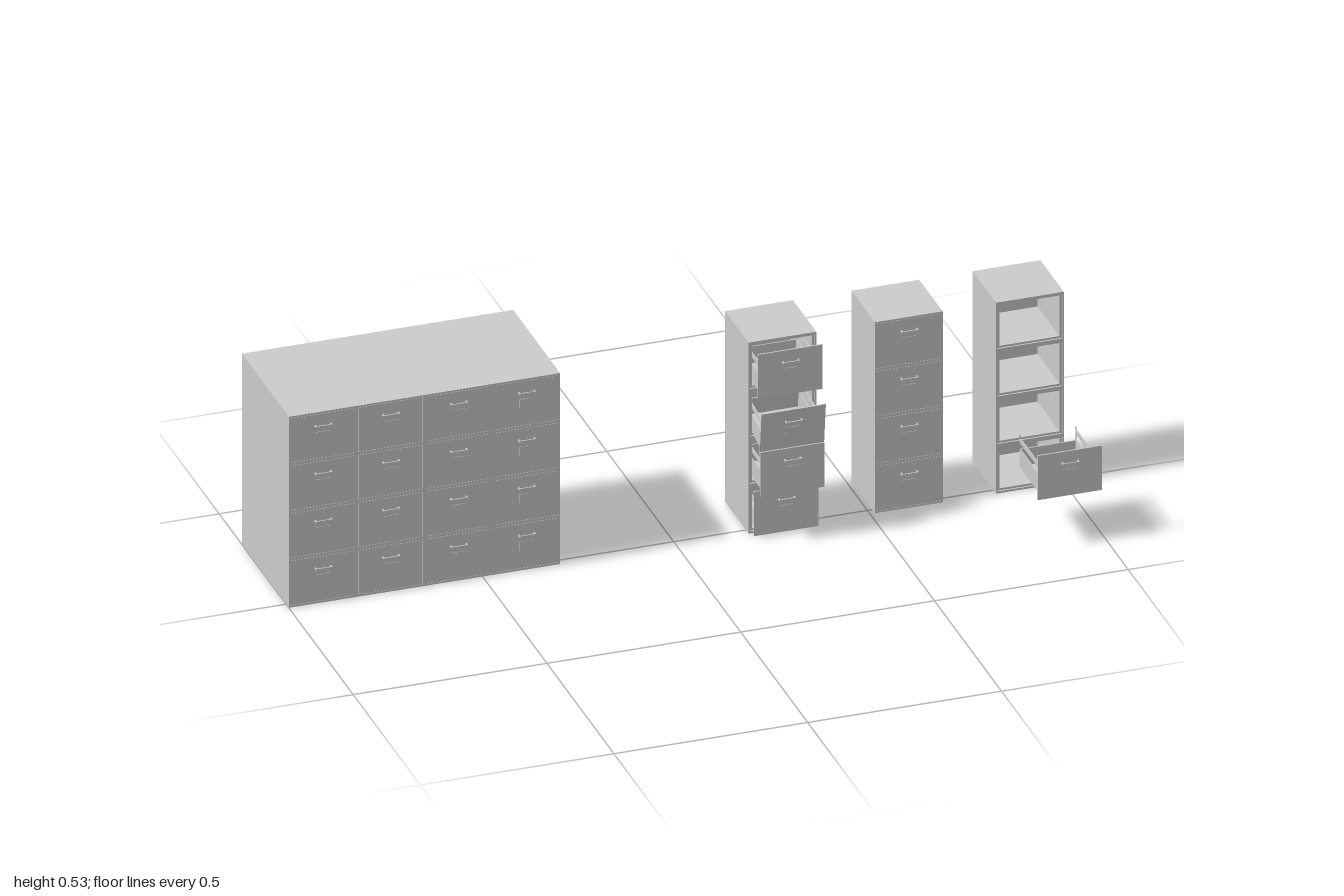
import * as THREE from 'three';

const grey = new THREE.MeshStandardMaterial({ color: 0xcccccc, flatShading: true });

const W = 0.175, H = 0.5265, D = 0.175;   // cabinet size
const PITCH = 0.131, BASE = 0.006;        // drawer spacing and lowest drawer
const PLATE_W = 0.166, PLATE_H = 0.122, PLATE_T = 0.004;

function mesh(parent, name, geometry, x = 0, y = 0, z = 0) {
  const m = new THREE.Mesh(geometry, grey);
  m.name = name;
  m.position.set(x, y, z);
  parent.add(m);
  return m;
}

// Box given by its limits on each axis
function box(parent, name, [x0, x1], [y0, y1], [z0, z1]) {
  return mesh(parent, name, new THREE.BoxGeometry(x1 - x0, y1 - y0, z1 - z0),
    (x0 + x1) / 2, (y0 + y1) / 2, (z0 + z1) / 2);
}

function rect(path, x0, y0, x1, y1) {
  path.moveTo(x0, y0);
  path.lineTo(x1, y0);
  path.lineTo(x1, y1);
  path.lineTo(x0, y1);
  path.closePath();
  return path;
}

// Upright frame with four drawer openings
function frameGeometry(holeW, holeH, depth) {
  const shape = rect(new THREE.Shape(), -W / 2, 0, W / 2, H);
  for (let i = 0; i < 4; i++) {
    const mid = BASE + i * PITCH + PLATE_H / 2;
    shape.holes.push(rect(new THREE.Path(), -holeW / 2, mid - holeH / 2, holeW / 2, mid + holeH / 2));
  }
  return new THREE.ExtrudeGeometry(shape, { depth, bevelEnabled: false });
}

const lipGeometry = frameGeometry(PLATE_W + 0.001, PLATE_H + 0.001, PLATE_T);
const shellGeometry = frameGeometry(0.155, 0.112, 0.164);

// Drawer: origin at the bottom of the front plate, on its back face
function createDrawer() {
  const g = new THREE.Group();
  g.name = 'drawer';
  box(g, 'drawerFront', [-PLATE_W / 2, PLATE_W / 2], [0, PLATE_H], [0, PLATE_T]);
  box(g, 'labelPlate', [-0.018, 0.018], [0.049, 0.073], [PLATE_T, PLATE_T + 0.001]);

  // U-shaped pull
  box(g, 'handleBar', [-0.0215, 0.0215], [0.09, 0.094], [0.012, 0.015]);
  for (const s of [-1, 1]) {
    const leg = box(g, 'handleLeg', [-0.0015, 0.0015], [0.09, 0.094], [PLATE_T, 0.012]);
    leg.position.x = s * 0.02;
  }

  // Open tray
  box(g, 'trayBottom', [-0.0735, 0.0735], [0.009, 0.012], [-0.16, 0]);
  box(g, 'trayBack', [-0.0735, 0.0735], [0.012, 0.058], [-0.16, -0.157]);
  for (const s of [-1, 1]) {
    const x = s * 0.072;
    const side = [x - 0.0015, x + 0.0015];
    box(g, 'traySide', side, [0.012, 0.058], [-0.157, 0]);
    box(g, 'hangingRail', side, [0.076, 0.088], [-0.16, 0]);
    box(g, 'railPost', side, [0.058, 0.096], [-0.16, -0.158]);
  }
  return g;
}

// Cabinet: front face at z = 0; slides[i] is how far drawer i is pulled out
function createCabinet(slides) {
  const g = new THREE.Group();
  g.name = 'cabinet';
  mesh(g, 'frontLip', lipGeometry, 0, 0, -PLATE_T);
  mesh(g, 'shell', shellGeometry, 0, 0, -0.168);
  box(g, 'backPanel', [-W / 2, W / 2], [0, H], [-D, -0.168]);
  g.drawers = slides.map((slide, i) => {
    const d = createDrawer();
    d.position.set(0, BASE + i * PITCH, slide - PLATE_T);
    g.add(d);
    return d;
  });
  return g;
}

export function createModel() {
  const model = new THREE.Group();
  model.name = 'filingCabinets';
  const front = 0.02;
  const closed = [0, 0, 0, 0];

  // Back-to-back block, four cabinets wide
  const block = new THREE.Group();
  block.name = 'cabinetBlock';
  model.add(block);
  for (let i = 0; i < 4; i++) {
    const x = -1 + W * (i + 0.5);
    const a = createCabinet(closed);
    a.position.set(x, 0, front);
    const b = createCabinet(closed);
    b.position.set(x, 0, front - 2 * D);
    b.rotation.y = Math.PI;
    block.add(a, b);
  }

  // Cabinet with its drawers pulled out, one of them sagging
  const open = createCabinet([0.028, 0.074, 0.08, 0.058]);
  open.name = 'openCabinet';
  open.position.set(0.274, 0, front);
  const sagging = open.drawers[2];
  sagging.rotation.x = 0.12;
  sagging.position.y -= 0.02;
  sagging.position.z -= 0.011;
  model.add(open);

  // Closed cabinet
  const shut = createCabinet(closed);
  shut.name = 'closedCabinet';
  shut.position.set(0.6, 0, front);
  model.add(shut);

  // Empty cabinet with one loose drawer in front
  const empty = createCabinet([]);
  empty.name = 'emptyCabinet';
  empty.position.set(0.9125, 0, front);
  const loose = createDrawer();
  loose.name = 'looseDrawer';
  loose.position.set(0.908, BASE + PITCH, 0.327);
  model.add(empty, loose);

  return model;
}
